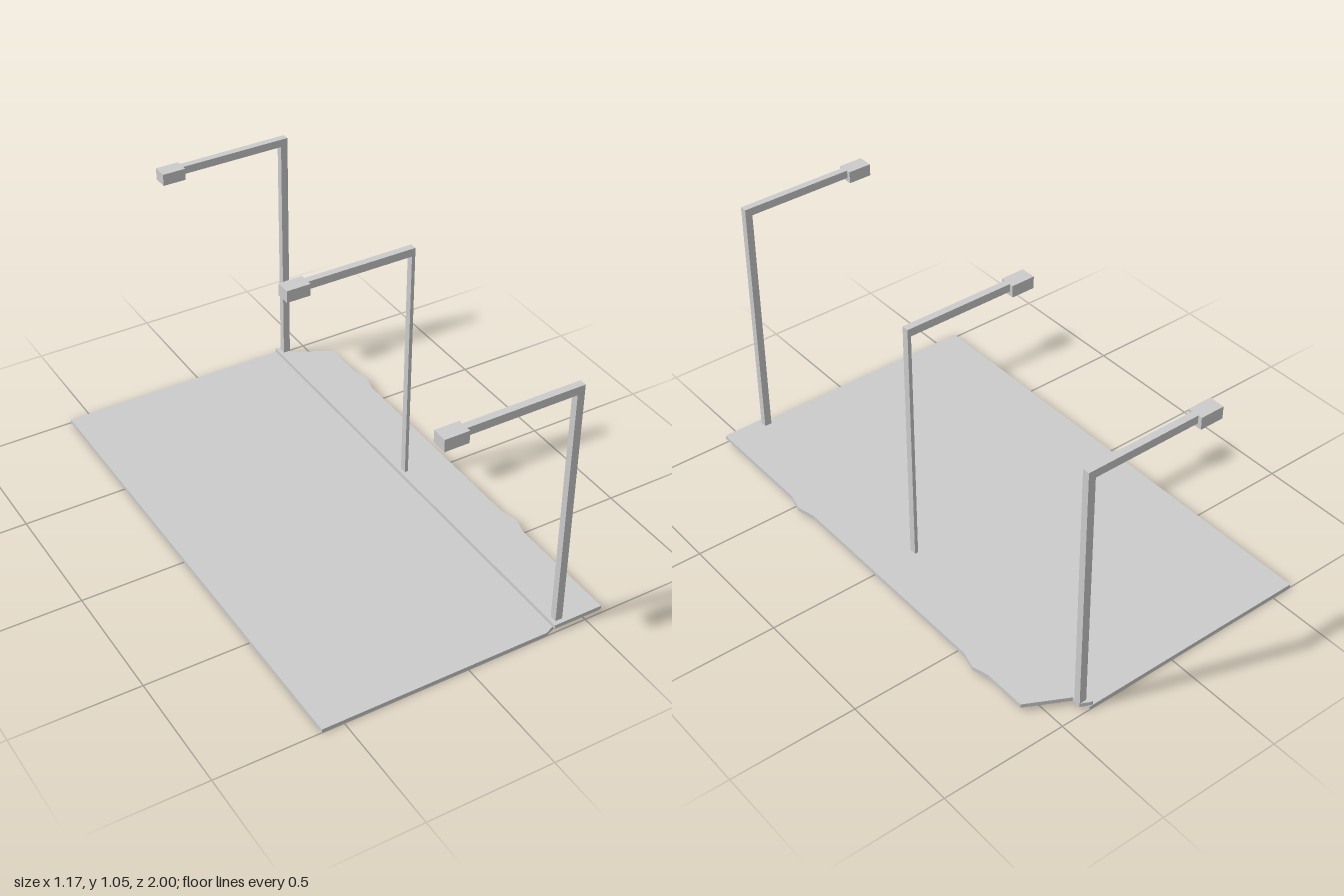
import * as THREE from 'three';

const grey = new THREE.MeshStandardMaterial({ color: 0xcccccc, flatShading: true });

// Horizontal slab from an [x, z] outline, between heights y0 and y1
function slab(name, outline, y0, y1) {
  const shape = new THREE.Shape(outline.map(([x, z]) => new THREE.Vector2(x, -z)));
  const geo = new THREE.ExtrudeGeometry(shape, { depth: y1 - y0, bevelEnabled: false });
  geo.rotateX(-Math.PI / 2).translate(0, y0, 0);
  const mesh = new THREE.Mesh(geo, grey);
  mesh.name = name;
  return mesh;
}

// Box given by its limits in x and y, and its width about z = 0
function bar(name, x0, x1, y0, y1, width) {
  const mesh = new THREE.Mesh(new THREE.BoxGeometry(x1 - x0, y1 - y0, width), grey);
  mesh.position.set((x0 + x1) / 2, (y0 + y1) / 2, 0);
  mesh.name = name;
  return mesh;
}

// Upright post, arm over the road and lamp head
function streetLight(z, postRight) {
  const light = new THREE.Group();
  light.name = 'streetLight';
  light.add(
    bar('post', 0.38, postRight, 0.018, 1.016, 0.028),
    bar('arm', -0.05, postRight, 1.016, 1.048, 0.028),
    bar('lampHead', -0.145, -0.05, 1.0, 1.048, 0.06),
  );
  light.position.z = z;
  return light;
}

export function createModel() {
  const model = new THREE.Group();
  model.name = 'streetSection';

  // Road with a clipped front corner
  model.add(slab('road', [
    [-0.587, 1], [0.33, 1], [0.38, 0.98], [0.38, -1], [-0.587, -1],
  ], 0, 0.015));

  // Pavement with a cut back corner and two bumps on the outer edge
  model.add(slab('pavement', [
    [0.365, 1], [0.567, 1],
    [0.567, 0.525], [0.586, 0.455], [0.567, 0.38],
    [0.567, -0.55], [0.586, -0.62], [0.567, -0.685],
    [0.567, -0.86], [0.408, -0.945], [0.408, -0.982], [0.372, -1], [0.365, -1],
  ], 0.018, 0.034));

  // Three street lights, the middle one with a thinner post
  for (const [z, postRight] of [[0.968, 0.409], [-0.017, 0.394], [-0.968, 0.409]]) {
    model.add(streetLight(z, postRight));
  }
  return model;
}
